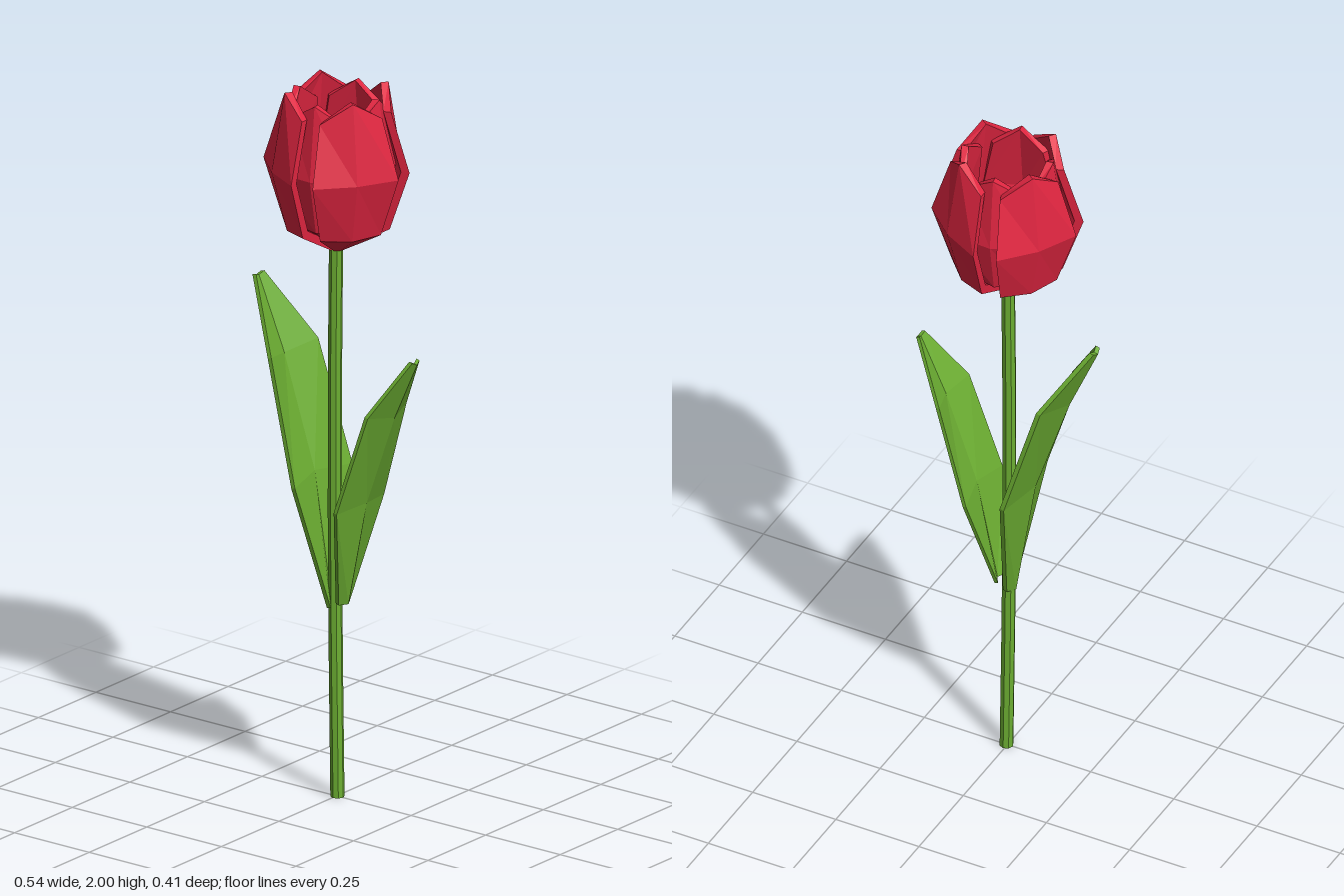
import * as THREE from 'three';

const petalRed = new THREE.MeshStandardMaterial({ color: 0xdf2540 });
petalRed.name = 'petalRed';
const leafGreen = new THREE.MeshStandardMaterial({ color: 0x6cae32 });
leafGreen.name = 'leafGreen';

// Un-indexed faces with their own normals give the faceted look
function faceted(geometry) {
  const g = geometry.index ? geometry.toNonIndexed() : geometry;
  g.computeVertexNormals();
  return g;
}

// Closed slab between two grids of points: outer[row][col] and inner[row][col]
function slab(outer, inner) {
  const pos = [];
  const quad = (a, b, c, d) => pos.push(...a, ...b, ...c, ...a, ...c, ...d);
  const rows = outer.length - 1, cols = outer[0].length - 1;
  const wall = (i, j, k, l) => quad(outer[i][j], inner[i][j], inner[k][l], outer[k][l]);
  for (let i = 0; i < rows; i++) {
    for (let j = 0; j < cols; j++) {
      quad(outer[i][j], outer[i + 1][j], outer[i + 1][j + 1], outer[i][j + 1]);
      quad(inner[i][j], inner[i][j + 1], inner[i + 1][j + 1], inner[i + 1][j]);
    }
    wall(i, 0, i + 1, 0);
    wall(i + 1, cols, i, cols);
  }
  for (let j = 0; j < cols; j++) {
    wall(rows, j, rows, j + 1);
    wall(0, j + 1, 0, j);
  }
  const g = new THREE.BufferGeometry();
  g.setAttribute('position', new THREE.Float32BufferAttribute(pos, 3));
  return faceted(g);
}

// Petal rows: edge radius, edge height, middle radius, middle height, half angle,
// then the inward and upward shift of the inside face
function petalGeometry(rows) {
  const polar = (r, y, deg) => {
    const a = THREE.MathUtils.degToRad(deg);
    return [r * Math.cos(a), y, r * Math.sin(a)];
  };
  const face = (k) => rows.map(([er, ey, mr, my, half, dr, dy]) => [
    polar(er - k * dr, ey + k * dy, -half),
    polar(mr - k * dr, my + k * dy, 0),
    polar(er - k * dr, ey + k * dy, half),
  ]);
  return slab(face(0), face(1));
}

// Leaf rows: crease x, crease y, edge x, edge y, half width
function leafGeometry(rows, thickness) {
  const face = (d) => rows.map(([mx, my, ex, ey, w]) => [
    [ex - d, ey + d * 0.3, -w], [mx - d, my + d * 0.3, 0], [ex - d, ey + d * 0.3, w],
  ]);
  return slab(face(0), face(thickness));
}

export function createModel() {
  const tulip = new THREE.Group();
  tulip.name = 'tulip';
  const add = (name, geometry, material, turn = 0) => {
    const mesh = new THREE.Mesh(geometry, material);
    mesh.name = name;
    mesh.rotation.y = turn;
    tulip.add(mesh);
  };

  // Stem with a slight bow
  const stem = new THREE.CylinderGeometry(0.019, 0.019, 1.585, 8, 4);
  stem.translate(0, 0.7925, 0);
  const p = stem.attributes.position;
  for (let i = 0; i < p.count; i++) {
    p.setX(i, p.getX(i) + 0.003 - 0.009 * Math.sin(Math.PI * p.getY(i) / 1.9));
  }
  add('stem', faceted(stem), leafGreen);

  // Two rings of four petals, the inner ring filling the gaps of the outer
  const outerPetal = petalGeometry([
    [0.022, 1.545, 0.022, 1.545, 36, 0.008, 0.02],
    [0.148, 1.615, 0.138, 1.61, 35, 0.022, 0.015],
    [0.204, 1.78, 0.181, 1.78, 36, 0.024, 0],
    [0.152, 1.945, 0.145, 2.0, 35, 0.022, 0],
  ]);
  const innerPetal = petalGeometry([
    [0.02, 1.562, 0.02, 1.562, 45, 0.01, 0.015],
    [0.125, 1.63, 0.12, 1.625, 45, 0.018, 0.012],
    [0.172, 1.78, 0.155, 1.78, 42, 0.02, 0],
    [0.135, 1.935, 0.128, 1.985, 37, 0.02, 0],
  ]);
  for (let k = 0; k < 4; k++) {
    const turn = -THREE.MathUtils.degToRad(34.5 + 90 * k);
    add('outerPetal', outerPetal, petalRed, turn);
    add('innerPetal', innerPetal, petalRed, turn + Math.PI / 4);
  }

  // Creased leaves cupping the stem, one taller than the other
  add('tallLeaf', leafGeometry([
    [0.026, 0.53, 0.012, 0.535, 0.026],
    [0.085, 0.9, 0.055, 0.89, 0.125],
    [0.187, 1.21, 0.152, 1.23, 0.102],
    [0.272, 1.41, 0.268, 1.418, 0.018],
  ], 0.012), leafGreen, Math.PI);
  add('shortLeaf', leafGeometry([
    [0.04, 0.55, 0.026, 0.55, 0.024],
    [0.102, 0.85, 0.08, 0.84, 0.103],
    [0.195, 1.11, 0.17, 1.125, 0.085],
    [0.27, 1.275, 0.266, 1.283, 0.016],
  ], 0.01), leafGreen);

  return tulip;
}
